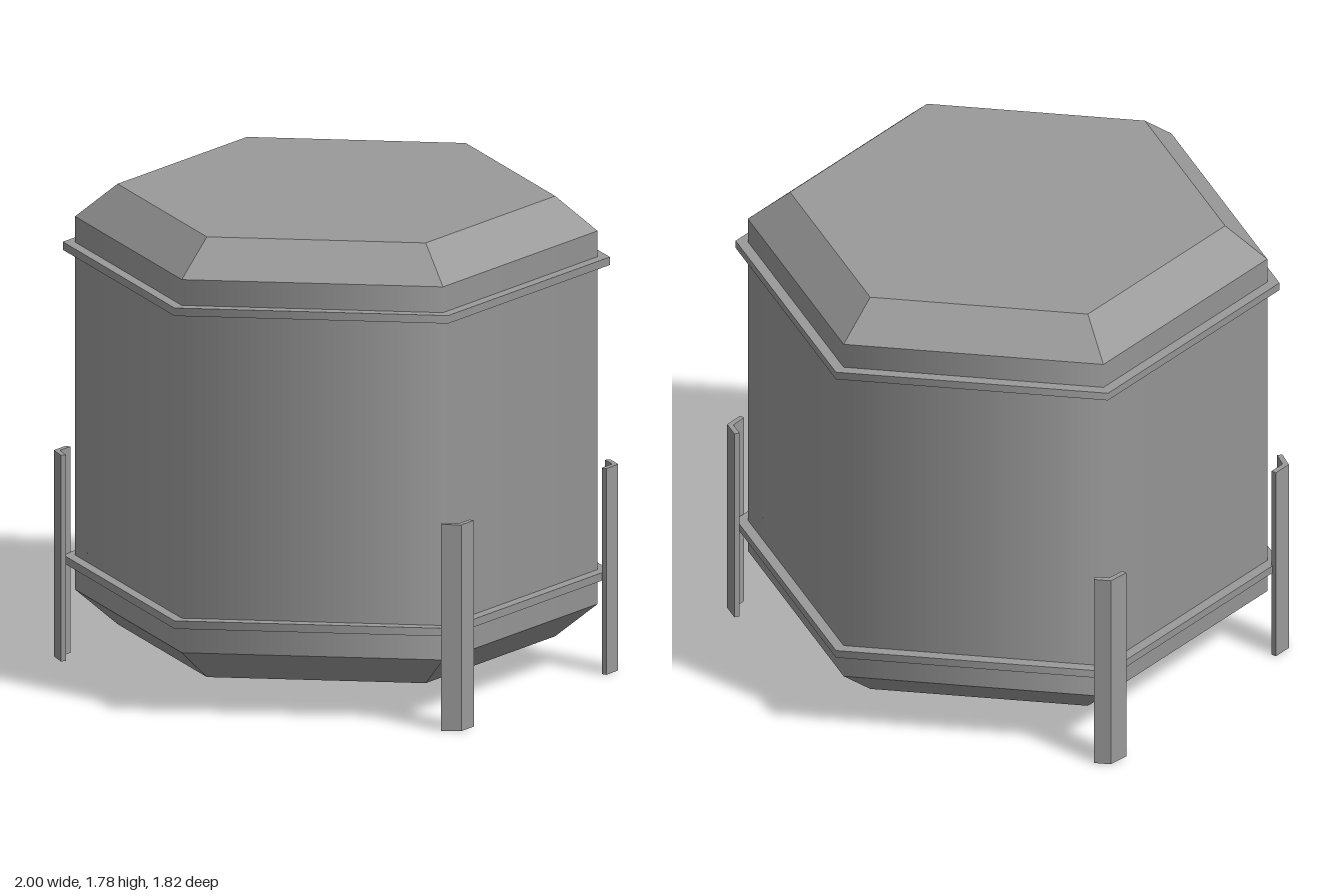
import * as THREE from 'three';

const CENTER_Z = -0.014;
const BODY_R = 0.955, LID_R = 0.8, BAND_R = 1.0;

const smooth = new THREE.MeshStandardMaterial({ color: 0x9a9a9a });
const flat = new THREE.MeshStandardMaterial({ color: 0x9a9a9a, flatShading: true });

function add(parent, name, geometry, material) {
  const mesh = new THREE.Mesh(geometry, material);
  mesh.name = name;
  parent.add(mesh);
}

// Six-sided wall between two heights, with corners on the x axis
function hexWall(rBottom, rTop, y0, y1) {
  return new THREE.CylinderGeometry(rTop, rBottom, y1 - y0, 6, 1, true, Math.PI / 2)
    .translate(0, (y0 + y1) / 2, 0);
}

// Flat hexagon facing up (1) or down (-1), with an optional hole
function hexFace(inner, outer, y, dir) {
  const g = inner > 0 ? new THREE.RingGeometry(inner, outer, 6) : new THREE.CircleGeometry(outer, 6);
  return g.rotateX(-dir * Math.PI / 2).translate(0, y, 0);
}

// Thin strip bent along three plan points [x, z]; thickness grows towards the tank
function legGeometry(points, thickness, height) {
  const pts = points.map(([x, z]) => new THREE.Vector2(x, -z));
  const side = (a, b) => {
    const n = new THREE.Vector2(-(b.y - a.y), b.x - a.x).normalize();
    return n.dot(a) > 0 ? n.negate() : n;
  };
  const n0 = side(pts[0], pts[1]), n1 = side(pts[1], pts[2]);
  const mid = n0.clone().add(n1).divideScalar(1 + n0.dot(n1));
  const inner = [n0, mid, n1].map((n, i) => pts[i].clone().addScaledVector(n, thickness));
  const shape = new THREE.Shape([...pts, ...inner.reverse()]);
  return new THREE.ExtrudeGeometry(shape, { depth: height, bevelEnabled: false })
    .rotateX(-Math.PI / 2);
}

export function createModel() {
  const model = new THREE.Group();
  model.name = 'hexagonalTank';

  // Tank with softly shaded wall and crisp chamfered ends
  const tank = new THREE.Group();
  tank.name = 'tank';
  tank.position.z = CENTER_Z;
  model.add(tank);
  add(tank, 'wall', hexWall(BODY_R, BODY_R, 0.248, 1.654), smooth);
  add(tank, 'topChamfer', hexWall(BODY_R, LID_R, 1.654, 1.781), flat);
  add(tank, 'topFace', hexFace(0, LID_R, 1.781, 1), flat);
  add(tank, 'bottomChamfer', hexWall(LID_R, BODY_R, 0.122, 0.248), flat);
  add(tank, 'bottomFace', hexFace(0, LID_R, 0.122, -1), flat);

  // Two thin bands around the wall
  for (const [name, y] of [['lowerBand', 0.348], ['upperBand', 1.527]]) {
    const band = new THREE.Group();
    band.name = name;
    add(band, 'bandEdge', hexWall(BAND_R, BAND_R, y, y + 0.03), smooth);
    add(band, 'bandTop', hexFace(BODY_R, BAND_R, y + 0.03, 1), flat);
    add(band, 'bandUnderside', hexFace(BODY_R, BAND_R, y, -1), flat);
    tank.add(band);
  }

  // Four bent-plate legs, each set slightly unevenly
  const legs = {
    frontLeftLeg: [[0.553, 0.815], [0.516, 0.878], [0.44, 0.88]],
    frontRightLeg: [[-0.537, 0.848], [-0.497, 0.91], [-0.42, 0.91]],
    backLeftLeg: [[0.543, -0.85], [0.512, -0.903], [0.433, -0.912]],
    backRightLeg: [[-0.577, -0.832], [-0.535, -0.895], [-0.46, -0.895]],
  };
  for (const [name, points] of Object.entries(legs)) {
    add(model, name, legGeometry(points, 0.02, 0.777), flat);
  }
  return model;
}
